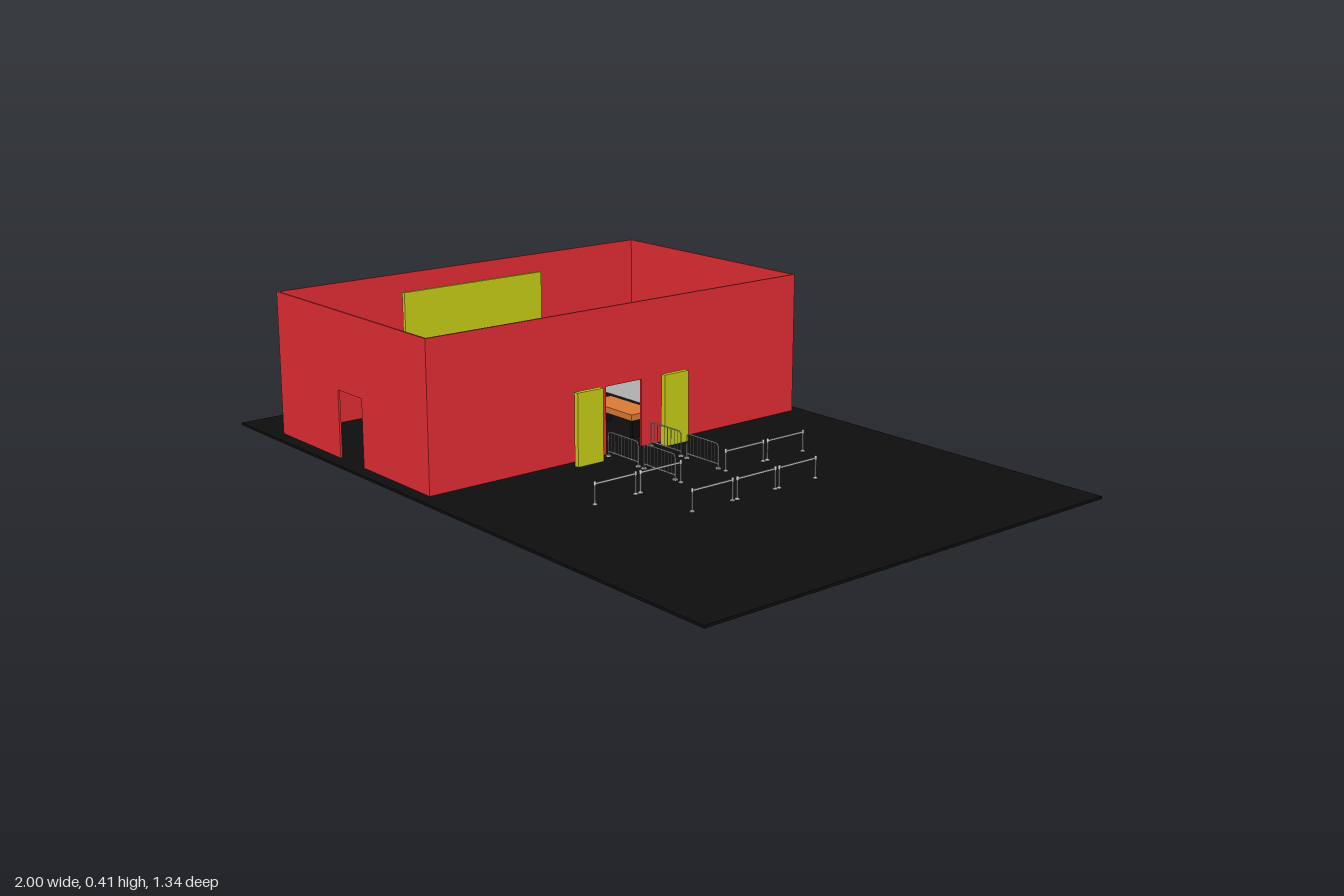
import * as THREE from 'three';

const mat = (color, extra = {}) => new THREE.MeshStandardMaterial({ color, ...extra });
const GREY = mat(0xcccccc);
const BLACK = mat(0x0d0d0d);
const RED = mat(0xe02c32, { side: THREE.DoubleSide });
const YELLOW = mat(0xc4cc14);
const ORANGE = mat(0xd87a35);
const ROOF = mat(0xcccccc, { flatShading: true, side: THREE.DoubleSide });
const FLOOR = 0.007;

function add(parent, name, geometry, material, x = 0, y = 0, z = 0) {
  const m = new THREE.Mesh(geometry, material);
  m.name = name;
  m.position.set(x, y, z);
  parent.add(m);
  return m;
}

// box from its extents
function box(parent, name, material, x0, x1, y0, y1, z0, z1) {
  return add(parent, name, new THREE.BoxGeometry(x1 - x0, y1 - y0, z1 - z0), material,
    (x0 + x1) / 2, (y0 + y1) / 2, (z0 + z1) / 2);
}

// upright wall outline along u with a doorway cut from a to b
function wallGeometry(u0, u1, a, b, h) {
  const s = new THREE.Shape();
  [[u0, FLOOR], [a, FLOOR], [a, h], [b, h], [b, FLOOR], [u1, FLOOR], [u1, 0.415], [u0, 0.415]]
    .forEach(([x, y], i) => (i ? s.lineTo(x, y) : s.moveTo(x, y)));
  return new THREE.ExtrudeGeometry(s, { depth: 0.006, bevelEnabled: false });
}

function walls() {
  const g = new THREE.Group();
  g.name = 'walls';
  add(g, 'frontWall', wallGeometry(-0.825, -0.083, -0.515, -0.396, 0.197), RED, 0, 0, 0.626);
  add(g, 'backWall', wallGeometry(-0.825, -0.083, -0.515, -0.396, 0.197), RED, 0, 0, -0.637);
  const right = wallGeometry(-0.637, 0.632, -0.062, 0.062, 0.197).rotateY(-Math.PI / 2);
  add(g, 'entranceWall', right, RED, -0.083);
  const left = wallGeometry(-0.637, 0.632, -0.188, 0.175, 0.24).rotateY(-Math.PI / 2);
  add(g, 'wideOpeningWall', left, RED, -0.819);
  return g;
}

// rounded rim with a low hipped roof rising to one point
function canopyGeometry(w, d, r, y0, y1, apex) {
  const ring = [];
  for (let c = 0; c < 4; c++) {
    const sx = c === 0 || c === 3 ? 1 : -1, sz = c < 2 ? 1 : -1;
    for (let i = 0; i <= 4; i++) {
      const t = (c + i / 4) * Math.PI / 2;
      ring.push([sx * (w / 2 - r) + r * Math.cos(t), sz * (d / 2 - r) + r * Math.sin(t)]);
    }
  }
  const p = [], n = ring.length;
  for (let i = 0; i < n; i++) {
    const [ax, az] = ring[i], [bx, bz] = ring[(i + 1) % n];
    p.push(ax, y0, az, ax, y1, az, bx, y1, bz, ax, y0, az, bx, y1, bz, bx, y0, bz);
    p.push(ax, y1, az, 0, apex, 0, bx, y1, bz);
  }
  const g = new THREE.BufferGeometry();
  g.setAttribute('position', new THREE.Float32BufferAttribute(p, 3));
  g.computeVertexNormals();
  return g;
}

// kiosk facing the central aisle; dir points towards the aisle
function kiosk(z, dir) {
  const g = new THREE.Group();
  g.name = 'kiosk';
  add(g, 'canopy', canopyGeometry(0.27, 0.175, 0.03, 0.11, 0.175, 0.24), ROOF);
  for (const x of [-0.115, 0.115]) for (const pz of [-0.068, 0.068])
    add(g, 'canopyPost', new THREE.CylinderGeometry(0.003, 0.003, 0.11, 8), BLACK, x, 0.06, pz);
  box(g, 'counterTop', ORANGE, -0.105, 0.095, 0.058, 0.076, 0.02, 0.107);
  for (const x of [-0.095, 0.085])
    box(g, 'counterLeg', BLACK, x - 0.004, x + 0.004, FLOOR, 0.058, 0.03, 0.1);
  g.position.set(-0.25, 0, z);
  if (dir < 0) {
    g.rotation.y = Math.PI;
    g.children.filter((c) => c.name.startsWith('counter')).forEach((c) => (c.position.x *= -1));
  }
  return g;
}

// tube rail through points with thin round section
function rail(parent, name, points, r) {
  const path = new THREE.CatmullRomCurve3(points.map((q) => new THREE.Vector3(...q)), false, 'catmullrom', 0.1);
  return add(parent, name, new THREE.TubeGeometry(path, 40, r, 6), GREY);
}

// crowd barrier: bent frame, low rail, bars and feet
function barrier(x0, x1, z) {
  const g = new THREE.Group();
  g.name = 'crowdBarrier';
  rail(g, 'frame', [[x0, FLOOR, z], [x0, 0.066, z], [x0 + 0.003, 0.073, z], [x0 + 0.01, 0.076, z],
    [x1 - 0.01, 0.076, z], [x1 - 0.003, 0.073, z], [x1, 0.066, z], [x1, FLOOR, z]], 0.0018);
  box(g, 'lowRail', GREY, x0, x1, 0.019, 0.022, z - 0.0015, z + 0.0015);
  for (let i = 1; i < 9; i++) {
    const x = x0 + (x1 - x0) * i / 9;
    add(g, 'bar', new THREE.CylinderGeometry(0.001, 0.001, 0.055, 6), GREY, x, 0.0485, z);
  }
  for (const x of [x0, x1])
    add(g, 'foot', new THREE.CylinderGeometry(0.007, 0.008, 0.003, 12), GREY, x, FLOOR + 0.0015, z);
  return g;
}

const POST = new THREE.LatheGeometry([[0, 0], [0.007, 0], [0.006, 0.003], [0.002, 0.004],
  [0.002, 0.05], [0.0035, 0.051], [0.0035, 0.06], [0, 0.062]].map(([x, y]) => new THREE.Vector2(x, y)), 12);

// two queue posts joined by a belt
function queue(xa, za, xb, zb) {
  const g = new THREE.Group();
  g.name = 'queueBarrier';
  add(g, 'queuePost', POST, GREY, xa, FLOOR, za);
  add(g, 'queuePost', POST, GREY, xb, FLOOR, zb);
  const t = 0.0006;
  box(g, 'belt', GREY, Math.min(xa, xb) - t, Math.max(xa, xb) + t, 0.059, 0.064,
    Math.min(za, zb) - t, Math.max(za, zb) + t);
  return g;
}

// standing figure, shoulders along z
function person() {
  const g = new THREE.Group();
  g.name = 'person';
  const limb = (name, a, b, r) => {
    const A = new THREE.Vector3(...a), B = new THREE.Vector3(...b);
    const m = add(g, name, new THREE.CapsuleGeometry(r, A.distanceTo(B), 4, 8), GREY);
    m.position.copy(A).add(B).multiplyScalar(0.5);
    m.quaternion.setFromUnitVectors(new THREE.Vector3(0, 1, 0), B.sub(A).normalize());
  };
  const head = add(g, 'head', new THREE.SphereGeometry(0.009, 12, 10), GREY, 0, 0.107, 0);
  head.scale.y = 1.15;
  limb('neck', [0, 0.09, 0], [0, 0.098, 0], 0.004);
  const torso = add(g, 'torso', new THREE.CylinderGeometry(0.015, 0.011, 0.038, 12), GREY, 0, 0.073, 0);
  torso.scale.x = 0.7;
  for (const s of [-1, 1]) {
    limb('upperArm', [0, 0.087, s * 0.016], [0.002, 0.072, s * 0.026], 0.0038);
    limb('forearm', [0.002, 0.072, s * 0.026], [-0.006, 0.06, s * 0.036], 0.003);
    limb('leg', [0, 0.056, s * 0.007], [0, 0.013, s * 0.01], 0.005);
    limb('foot', [0.001, 0.01, s * 0.01], [-0.009, 0.01, s * 0.011], 0.003);
  }
  g.position.set(-0.477, 0, 0.315);
  return g;
}

export function createModel() {
  const model = new THREE.Group();
  model.name = 'exhibitionHall';
  box(model, 'ground', BLACK, -1, 1, 0, FLOOR, -0.67, 0.67);
  model.add(walls());

  // yellow display panels: beside the entrance, inside, and over the wide opening
  box(model, 'entrancePanel', YELLOW, -0.053, -0.038, FLOOR, 0.21, -0.193, -0.107);
  box(model, 'entrancePanel', YELLOW, -0.053, -0.038, FLOOR, 0.21, 0.107, 0.193);
  box(model, 'innerPanel', YELLOW, -0.771, -0.759, FLOOR, 0.22, -0.408, -0.228);
  box(model, 'innerPanel', YELLOW, -0.771, -0.759, FLOOR, 0.22, 0.222, 0.402);
  box(model, 'overheadPanel', YELLOW, -0.798, -0.786, 0.205, 0.365, -0.248, 0.243);

  model.add(kiosk(-0.193, 1), kiosk(0.198, -1));

  // entrance lane
  for (const z of [-0.083, 0.067]) model.add(barrier(-0.068, 0.058, z), barrier(0.082, 0.208, z));

  // queue barriers outside, then inside
  for (const [x, a, b] of [
    [0.235, 0.353, 0.222], [0.235, 0.206, 0.071], [0.235, -0.085, -0.22], [0.235, -0.236, -0.368],
    [0.43, 0.203, 0.069], [0.43, 0.053, -0.078], [0.43, -0.092, -0.222],
    [-0.675, -0.36, -0.232], [-0.675, 0.22, 0.35],
  ]) model.add(queue(x, a, x, b));
  for (const z of [-0.19, 0.183]) model.add(queue(-0.8, z, -0.675, z));

  model.add(person());
  return model;
}
